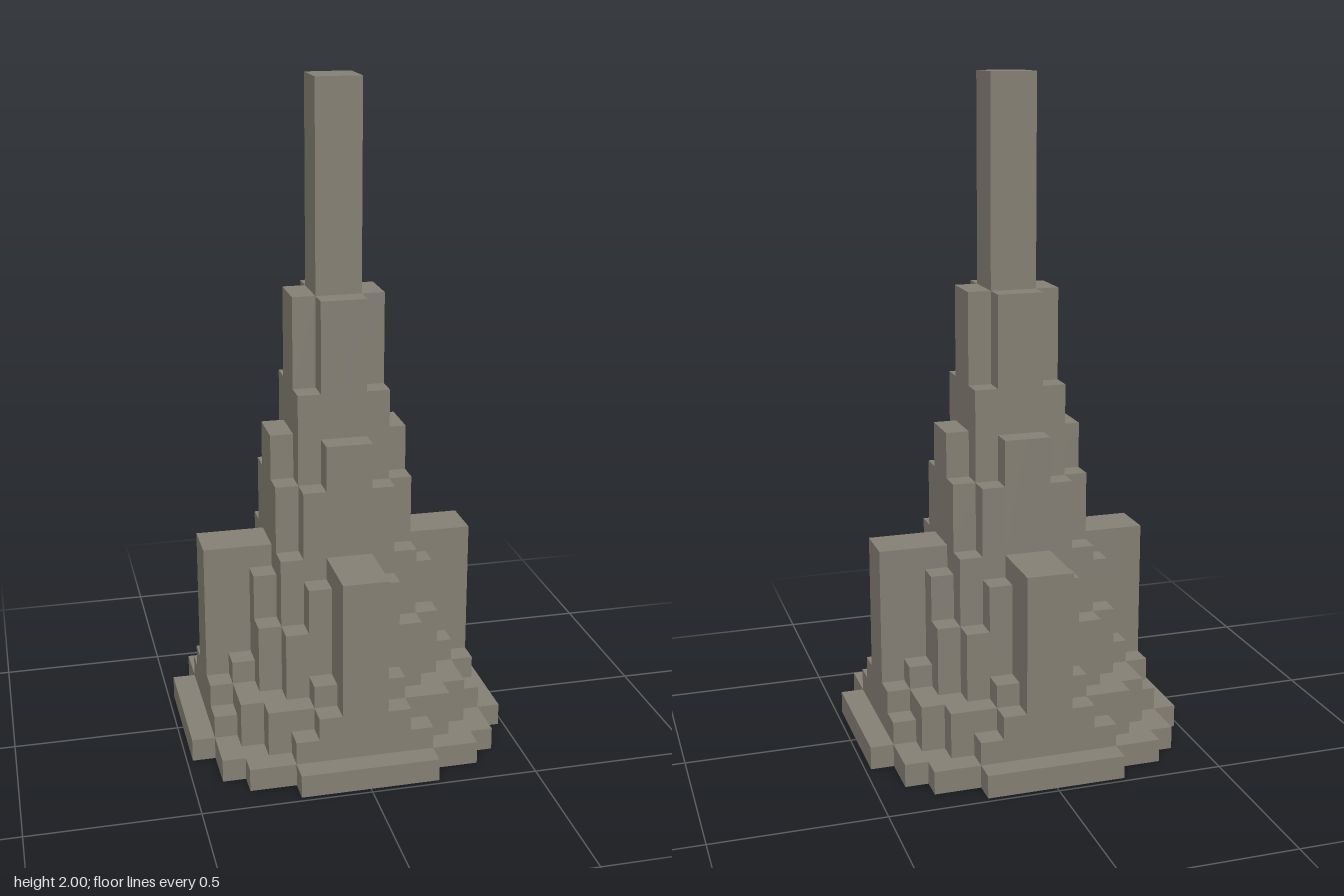
import * as THREE from 'three';
import { mergeGeometries } from 'three/addons/utils/BufferGeometryUtils.js';

const U = 2 / 29; // one block

// Block heights of one quarter, from the centre outwards; mirrored to all four.
const HEIGHTS = [
  [29, 20, 14, 9, 9, 9, 1],
  [20, 16, 12, 8, 4, 3, 1],
  [14, 12, 9, 6, 3, 2, 1],
  [9, 8, 6, 3, 3, 1, 0],
  [9, 4, 3, 3, 1, 1, 0],
  [9, 3, 2, 1, 1, 0, 0],
  [1, 1, 1, 0, 0, 0, 0],
];

// Cells run from -7 to 6 on both axes.
const fold = (i) => (i < 0 ? -i - 1 : i);
const heightAt = (i, j) => HEIGHTS[fold(i)]?.[fold(j)] ?? 0;

// Which named part a column belongs to.
function partOf(i, j) {
  const a = Math.max(fold(i), fold(j));
  const b = Math.min(fold(i), fold(j));
  const h = heightAt(i, j);
  if (h === 29) return 'spire';
  if (a === 1) return 'upperTower';
  if (a === 2) return 'lowerTower';
  if (b === 0 && h === 9) return 'sideTowers';
  if (h >= 4) return 'buttresses';
  return h > 1 ? 'terraces' : 'base';
}

// Exposed faces of one column: top, underside and the sides above its neighbours.
function columnFaces(i, j) {
  const h = heightAt(i, j);
  const x = i + 0.5;
  const z = j + 0.5;
  const faces = [
    new THREE.PlaneGeometry(1, 1).rotateX(-Math.PI / 2).translate(x, h, z),
    new THREE.PlaneGeometry(1, 1).rotateX(Math.PI / 2).translate(x, 0, z),
  ];
  [[0, 1], [1, 0], [0, -1], [-1, 0]].forEach(([dx, dz], k) => {
    const low = heightAt(i + dx, j + dz);
    if (low >= h) return;
    faces.push(new THREE.PlaneGeometry(1, h - low)
      .rotateY((k * Math.PI) / 2)
      .translate(x + dx / 2, (h + low) / 2, z + dz / 2));
  });
  return faces;
}

export function createModel() {
  const group = new THREE.Group();
  group.name = 'steppedTower';
  const stone = new THREE.MeshStandardMaterial({ color: 0x878276 });
  stone.name = 'stone';

  const parts = {};
  for (let i = -7; i < 7; i++) {
    for (let j = -7; j < 7; j++) {
      if (heightAt(i, j) === 0) continue;
      (parts[partOf(i, j)] ??= []).push(...columnFaces(i, j));
    }
  }
  for (const [name, faces] of Object.entries(parts)) {
    const mesh = new THREE.Mesh(mergeGeometries(faces).scale(U, U, U), stone);
    mesh.name = name;
    group.add(mesh);
  }
  return group;
}
